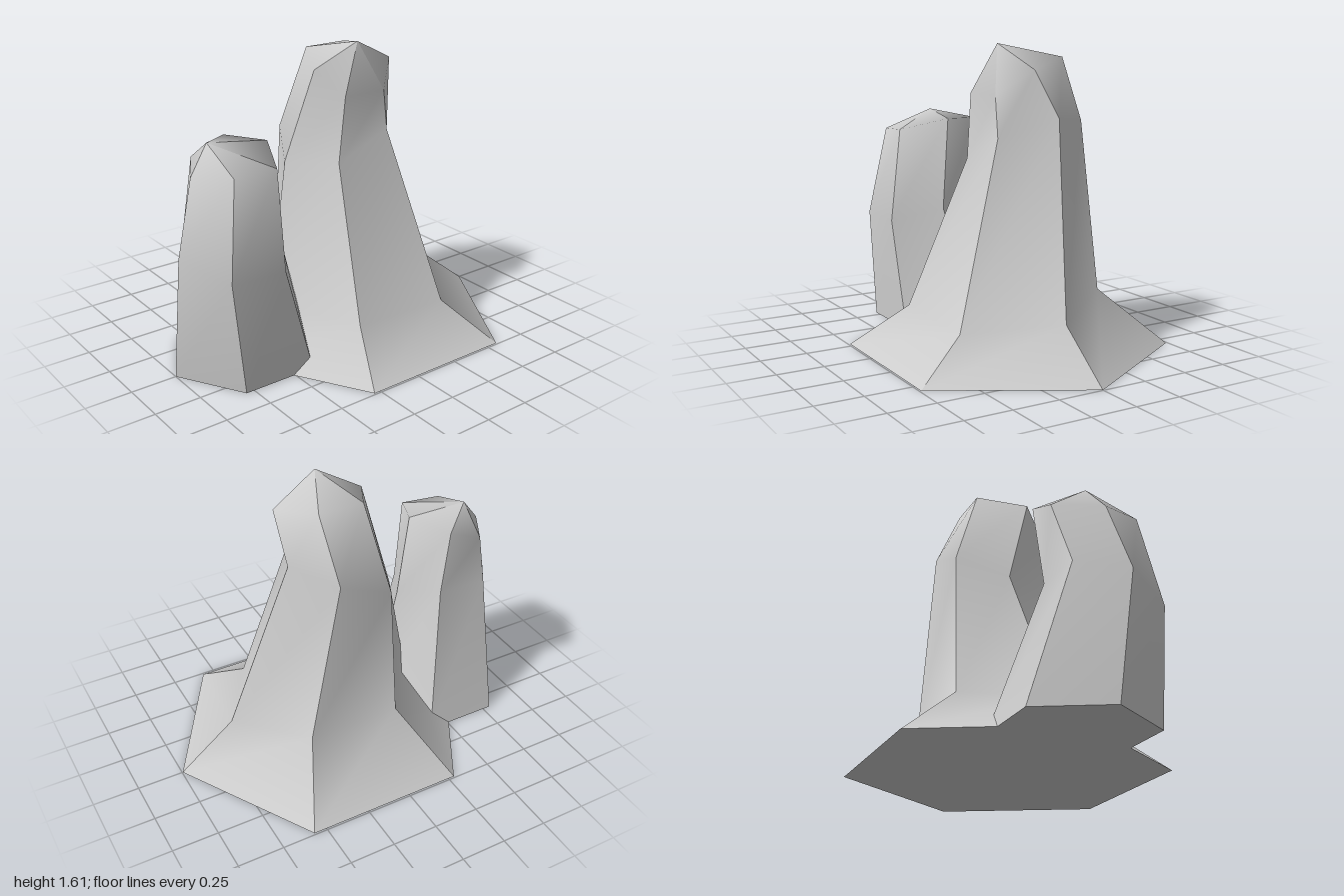
import * as THREE from 'three';

// Builds a six-sided rock from rings (bottom to top) and an apex.
// Each ring runs: front -x, front +x, +x, back +x, back -x, -x.
// Each side is smooth from foot to tip, with sharp edges between sides.
function buildRock(name, rings, apex, material) {
  const positions = [], indices = [];
  const sides = rings[0].length;
  const add = (p) => positions.push(...p) / 3 - 1;

  for (let i = 0; i < sides; i++) {
    const j = (i + 1) % sides;
    let a = add(rings[0][i]), b = add(rings[0][j]);
    for (let k = 1; k < rings.length; k++) {
      const c = add(rings[k][j]), d = add(rings[k][i]);
      indices.push(a, b, c, a, c, d);
      a = d;
      b = c;
    }
    indices.push(a, b, add(apex));
  }

  // flat underside
  const foot = rings[0].map(add);
  for (let i = 1; i < sides - 1; i++) indices.push(foot[0], foot[i + 1], foot[i]);

  const geometry = new THREE.BufferGeometry();
  geometry.setAttribute('position', new THREE.Float32BufferAttribute(positions, 3));
  geometry.setIndex(indices);
  geometry.computeVertexNormals();
  const mesh = new THREE.Mesh(geometry, material);
  mesh.name = name;
  return mesh;
}

// Regular hexagonal foot on the ground
function hexFoot(cx, radius) {
  return [120, 60, 0, -60, -120, 180].map((deg) => {
    const t = THREE.MathUtils.degToRad(deg);
    return [cx + radius * Math.cos(t), 0, radius * Math.sin(t)];
  });
}

export function createModel() {
  const group = new THREE.Group();
  group.name = 'rockPillars';
  const stone = new THREE.MeshStandardMaterial({ color: 0xcccccc });

  // tall pillar with a flared foot
  group.add(buildRock('tallPillar', [
    hexFoot(0.142, 0.855),
    [[-0.15, 0.21, 0.45], [0.42, 0.19, 0.45], [0.69, 0.24, 0], [0.40, 0.31, -0.40], [-0.11, 0.30, -0.40], [-0.41, 0.24, 0]],
    [[-0.055, 1.0, 0.14], [0.265, 1.13, 0.14], [0.39, 1.23, -0.15], [0.23, 1.20, -0.40], [-0.06, 1.08, -0.40], [-0.20, 0.96, -0.15]],
    [[-0.015, 1.35, 0.14], [0.24, 1.35, 0.14], [0.39, 1.48, 0], [0.265, 1.54, -0.25], [0.02, 1.54, -0.25], [-0.11, 1.48, 0]],
  ], [0.125, 1.61, 0.06], stone));

  // short pillar leaning against it
  group.add(buildRock('shortPillar', [
    hexFoot(-0.59, 0.41),
    [[-0.86, 0.61, 0.36], [-0.55, 0.60, 0.36], [-0.41, 0.67, 0.10], [-0.55, 0.76, -0.13], [-0.84, 0.75, -0.13], [-1.0, 0.69, 0.10]],
    [[-0.78, 1.11, 0.28], [-0.55, 1.12, 0.30], [-0.44, 1.18, 0.05], [-0.55, 1.17, -0.19], [-0.745, 1.09, -0.19], [-0.88, 1.07, 0.04]],
  ], [-0.76, 1.215, 0], stone));

  return group;
}
